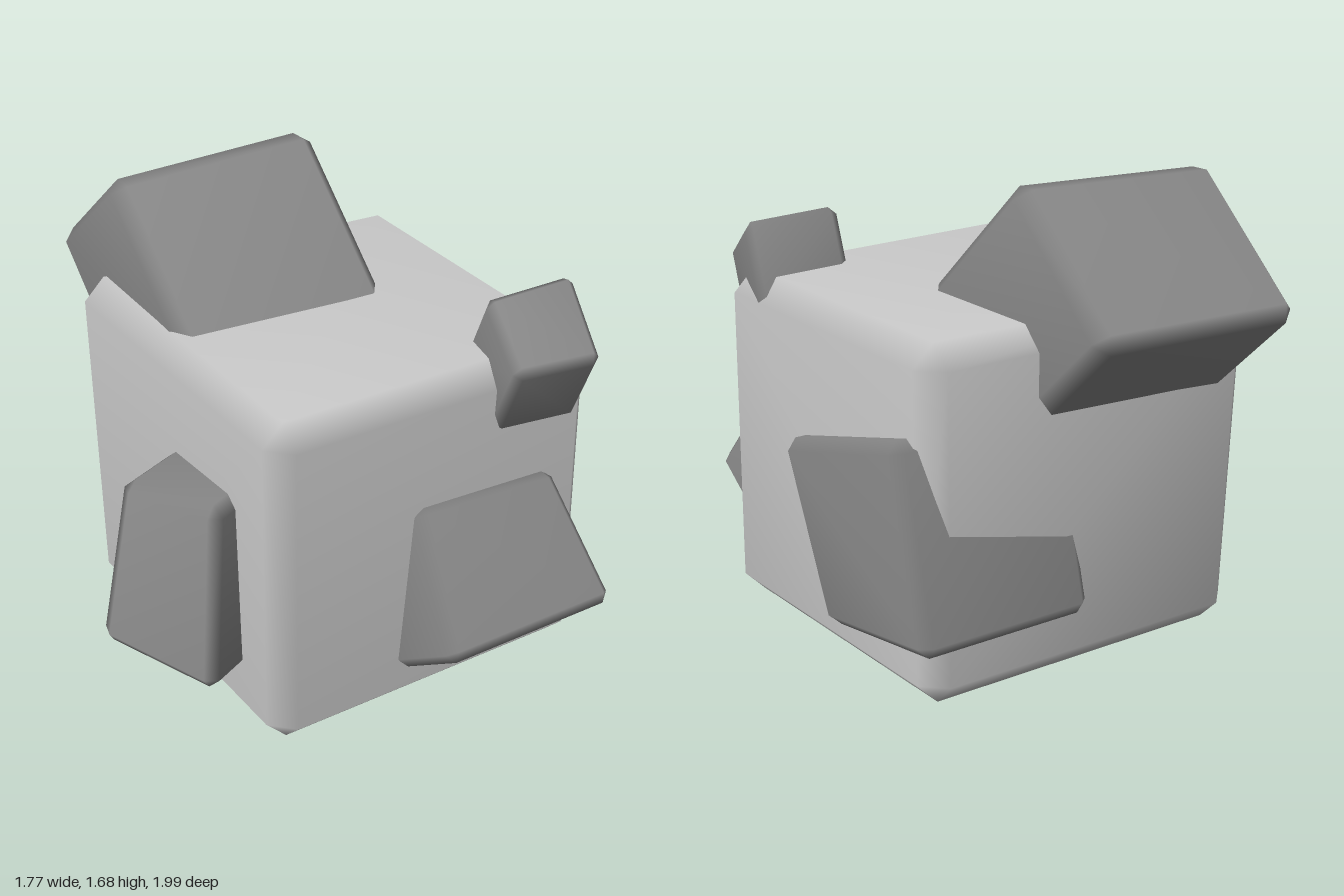
import * as THREE from 'three';
import { ConvexGeometry } from 'three/addons/geometries/ConvexGeometry.js';
import { mergeVertices } from 'three/addons/utils/BufferGeometryUtils.js';

// Bevelled, slightly skewed block: four corners of one face, the four opposite ones, bevel width
function bevelledBlock(face, opposite, bevel) {
  const rings = [face, opposite];
  const points = [];
  for (let r = 0; r < 2; r++) {
    for (let i = 0; i < 4; i++) {
      const corner = rings[r][i];
      const steps = [rings[r][(i + 1) % 4], rings[r][(i + 3) % 4], rings[1 - r][i]]
        .map((p) => p.clone().sub(corner).setLength(bevel));
      // One inset point on each of the three faces that meet here
      for (let k = 0; k < 3; k++) {
        points.push(corner.clone().add(steps[k]).add(steps[(k + 1) % 3]));
      }
    }
  }
  let geometry = new ConvexGeometry(points);
  geometry.deleteAttribute('normal');
  geometry = mergeVertices(geometry, 1e-4);
  geometry.computeVertexNormals();
  return geometry;
}

const vectors = (list) => list.map((p) => new THREE.Vector3(...p));

export function createModel() {
  const model = new THREE.Group();
  model.name = 'blockCluster';
  const light = new THREE.MeshStandardMaterial({ color: 0xcccccc });
  const dark = new THREE.MeshStandardMaterial({ color: 0x8a8a8a });

  function add(name, geometry, material) {
    const mesh = new THREE.Mesh(geometry, material);
    mesh.name = name;
    model.add(mesh);
  }

  // Large central block, a little uneven at the top
  add('mainBlock', bevelledBlock(
    vectors([[-0.51, 0, 0.7], [0.81, 0, 0.7], [0.81, 0, -0.62], [-0.51, 0, -0.62]]),
    vectors([[-0.51, 1.27, 0.685], [0.81, 1.25, 0.685], [0.81, 1.25, -0.62], [-0.51, 1.27, -0.7]]),
    0.08), light);

  // Smaller blocks sunk into it: outer face corners and the direction they run inwards
  const smallBlocks = [
    { name: 'frontBlock', bevel: 0.035, depth: [0, -0.235, -0.33],
      face: [[-0.015, 0.39, 1.015], [0.695, 0.39, 1.015], [0.62, 0.805, 0.71], [0.045, 0.835, 0.705]] },
    { name: 'leftSideBlock', bevel: 0.04, depth: [-0.68, 0, 0],
      face: [[0.89, 0.755, 0.175], [0.89, 0.945, -0.54], [0.89, 0.25, -0.715], [0.89, 0.16, -0.095]] },
    { name: 'rightSideBlock', bevel: 0.04, depth: [0.5, -0.08, -0.29],
      face: [[-0.905, 0.31, 0.15], [-0.69, 0.25, 0.57], [-0.61, 0.925, 0.49], [-0.79, 0.93, 0.15]] },
    { name: 'topBlock', bevel: 0.05, depth: [0, -0.49, 0.54],
      face: [[-0.435, 1.695, -0.52], [0.385, 1.72, -0.5], [0.39, 1.265, -0.98], [-0.405, 1.265, -1.035]] },
    { name: 'cornerBlock', bevel: 0.03, depth: [0.02, -0.3, -0.14],
      face: [[0.345, 1.3, 0.82], [0.695, 1.275, 0.84], [0.8, 1.445, 0.53], [0.415, 1.455, 0.54]] },
  ];
  for (const { name, bevel, depth, face } of smallBlocks) {
    const outer = vectors(face);
    const inward = new THREE.Vector3(...depth);
    const inner = outer.map((p) => p.clone().add(inward));
    add(name, bevelledBlock(outer, inner, bevel), dark);
  }
  return model;
}
